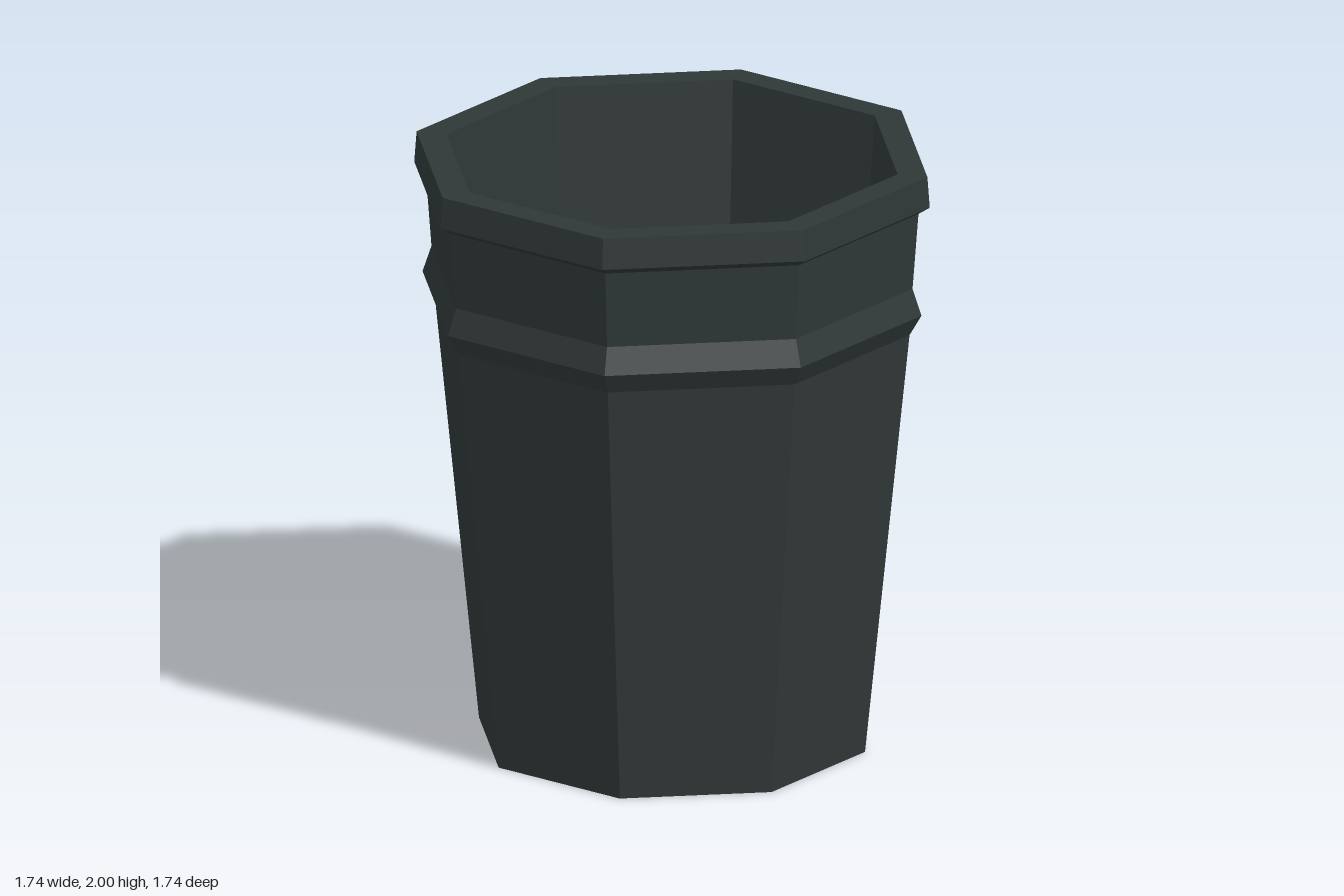
import * as THREE from 'three';

const SIDES = 8;

export function createModel() {
  const group = new THREE.Group();
  group.name = 'bin';

  const darkGreenGrey = new THREE.MeshStandardMaterial({ color: 0x2f3837 });
  darkGreenGrey.name = 'dark green grey';
  darkGreenGrey.flatShading = true;

  // Each part is an eight-sided turned profile of [radius, height] points
  const turned = (name, profile) => {
    const points = profile.map(([r, y]) => new THREE.Vector2(r, y));
    const mesh = new THREE.Mesh(new THREE.LatheGeometry(points, SIDES), darkGreenGrey);
    mesh.name = name;
    group.add(mesh);
  };

  // Underside and tapered outer wall
  turned('outerWall', [[0, 0], [0.65, 0], [0.8, 1.45]]);
  // Raised band around the upper wall
  turned('raisedBand', [[0.8, 1.45], [0.84, 1.52], [0.81, 1.61]]);
  // Collar between band and rim
  turned('collar', [[0.81, 1.61], [0.83, 1.87]]);
  // Overhanging rim with its flat top
  turned('rim', [[0.83, 1.87], [0.868, 1.895], [0.86, 2], [0.76, 2]]);
  // Hollow inside and floor
  turned('innerWall', [[0.76, 2], [0.62, 0.05]]);
  turned('floor', [[0.62, 0.05], [0, 0.05]]);

  return group;
}
